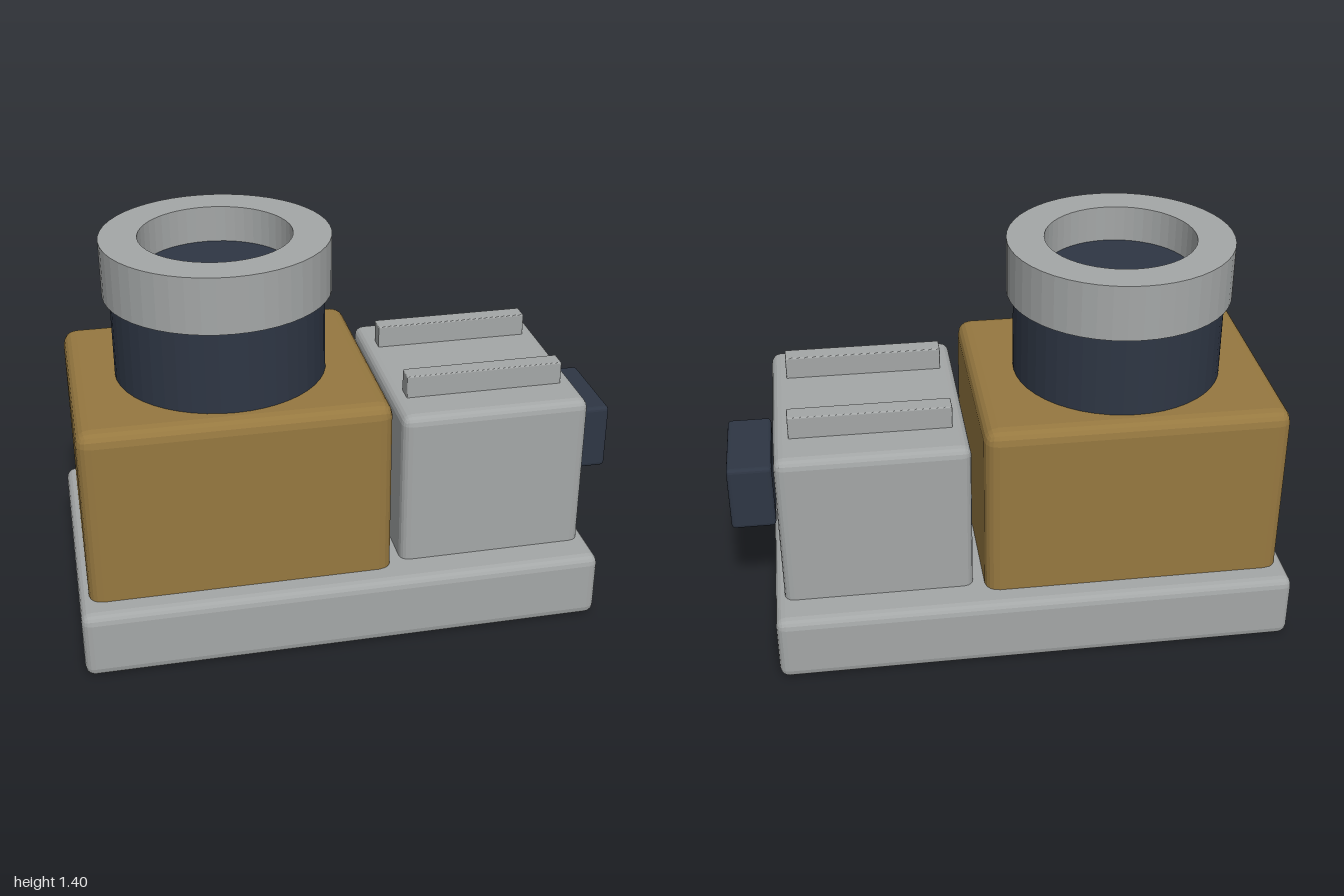
import * as THREE from 'three';
import { RoundedBoxGeometry } from 'three/addons/geometries/RoundedBoxGeometry.js';

const material = (name, color) => {
  const m = new THREE.MeshStandardMaterial({ color, flatShading: true });
  m.name = name;
  return m;
};

export function createModel() {
  const group = new THREE.Group();
  group.name = 'device';
  const grey = material('grey metal', 0xa4a7a7);
  const ochre = material('ochre housing', 0x967840);
  const navy = material('dark navy', 0x2e3644);

  const add = (name, geometry, mat) => {
    const mesh = new THREE.Mesh(geometry, mat);
    mesh.name = name;
    group.add(mesh);
    return mesh;
  };

  // Rounded box given by its extents; z is symmetric around zc
  const block = (name, mat, [x0, x1], [y0, y1], depth, radius, zc = 0) => {
    const mesh = add(name, new RoundedBoxGeometry(x1 - x0, y1 - y0, depth, 2, radius), mat);
    mesh.position.set((x0 + x1) / 2, (y0 + y1) / 2, zc);
  };

  // Base plate and the two housings sunk slightly into it
  block('basePlate', grey, [-1, 0.86], [0, 0.25], 1.07, 0.035);
  block('mainHousing', ochre, [-0.965, 0.11], [0.2, 0.9], 0.89, 0.05);
  block('sideHousing', grey, [0.15, 0.825], [0.2, 0.825], 0.81, 0.035);

  // Knob beyond the left end
  block('endKnob', navy, [0.84, 1], [0.417, 0.667], 0.36, 0.015);

  // Pair of rails on the side housing
  for (const side of [-1, 1]) {
    block('topRail', grey, [0.2, 0.77], [0.8, 0.907], 0.068, 0.005, side * 0.215);
  }

  // Upright barrel, its open rim and the recessed disc inside
  const cx = -0.425;
  const cylinder = (name, radius, y0, y1) => {
    const mesh = add(name, new THREE.CylinderGeometry(radius, radius, y1 - y0, 48), navy);
    mesh.position.set(cx, (y0 + y1) / 2, 0);
  };
  cylinder('barrel', 0.375, 0.88, 1.2);
  cylinder('recessedDisc', 0.266, 1.19, 1.27);

  const rimProfile = [[0.267, 1.2], [0.4, 1.2], [0.4, 1.4], [0.267, 1.4], [0.267, 1.2]]
    .map(([r, y]) => new THREE.Vector2(r, y));
  add('barrelRim', new THREE.LatheGeometry(rimProfile, 48), grey).position.x = cx;

  return group;
}
